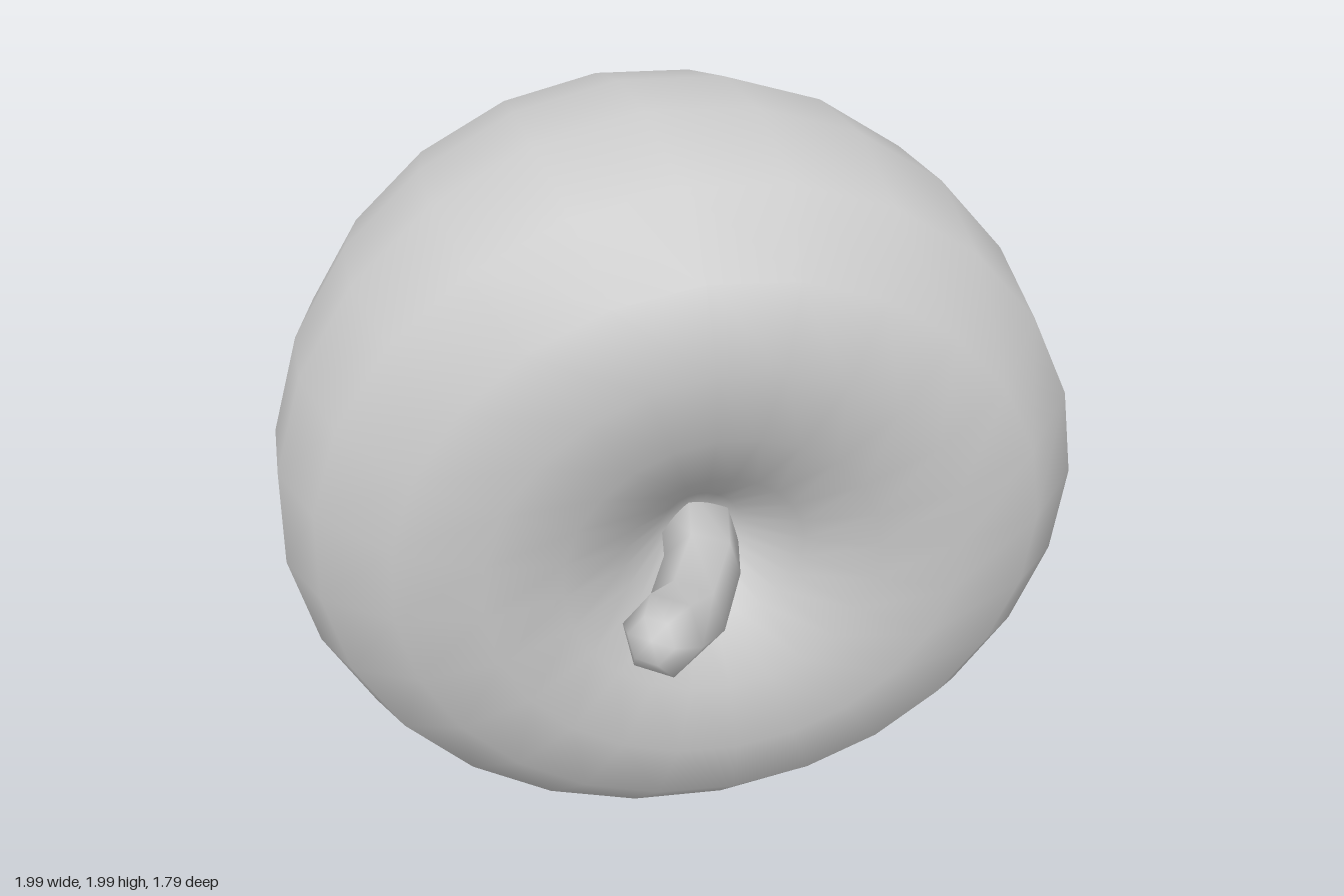
import * as THREE from 'three';
import { mergeVertices } from 'three/addons/utils/BufferGeometryUtils.js';

const material = new THREE.MeshStandardMaterial({ color: 0xcccccc });

// Turned solid from [radius, height] pairs, seam welded; each vertex is then moved by a rule
function turned(profile, sides, phase, rule) {
  const lathe = new THREE.LatheGeometry(profile.map(([r, h]) => new THREE.Vector2(r, h)), sides, phase);
  lathe.deleteAttribute('uv');
  lathe.deleteAttribute('normal');
  const geometry = mergeVertices(lathe, 1e-4);
  const pos = geometry.attributes.position;
  const v = new THREE.Vector3();
  for (let i = 0; i < pos.count; i++) {
    rule(v.fromBufferAttribute(pos, i));
    pos.setXYZ(i, v.x, v.y, v.z);
  }
  geometry.computeVertexNormals();
  return geometry;
}

function part(name, geometry) {
  const mesh = new THREE.Mesh(geometry, material);
  mesh.name = name;
  return mesh;
}

export function createModel() {
  const group = new THREE.Group();
  group.name = 'fruit';

  // Fruit body: lies on its side, round at the back, dimpled at the front
  const bodyProfile = [
    [0, -0.9], [0.18, -0.89], [0.37, -0.86], [0.61, -0.75], [0.8, -0.56], [0.93, -0.33],
    [0.995, -0.06], [1, 0.17], [0.93, 0.41], [0.77, 0.56], [0.57, 0.61], [0.38, 0.58],
    [0.22, 0.5], [0.1, 0.38], [0, 0.32],
  ];
  group.add(part('fruitBody', turned(bodyProfile, 24, THREE.MathUtils.degToRad(5), (v) => {
    v.set(v.x, -v.z, v.y);
    // The front leans: fuller at the top and at +x
    v.z += (0.1 * v.x + 0.085 * v.y) * THREE.MathUtils.smoothstep(v.z, 0, 0.55);
    v.y += 1;
  })));

  // Stem: six-sided, bent along a curve, with a blunt tip
  const path = new THREE.CatmullRomCurve3([
    new THREE.Vector3(0.02, 0.97, 0.3),
    new THREE.Vector3(-0.03, 0.965, 0.5),
    new THREE.Vector3(-0.12, 0.955, 0.67),
    new THREE.Vector3(-0.25, 1.06, 0.86),
  ]);
  const stemProfile = [[0, 0], [0.1, 0], [0.095, 0.3], [0.095, 0.6], [0.095, 0.88], [0.055, 1], [0, 1]];
  const forward = new THREE.Vector3(0, 0, 1);
  const turn = new THREE.Quaternion();
  group.add(part('stem', turned(stemProfile, 6, 0.3, (v) => {
    const t = v.y;
    turn.setFromUnitVectors(forward, path.getTangentAt(t));
    v.set(v.x, -v.z, 0).applyQuaternion(turn).add(path.getPointAt(t));
  })));

  return group;
}
